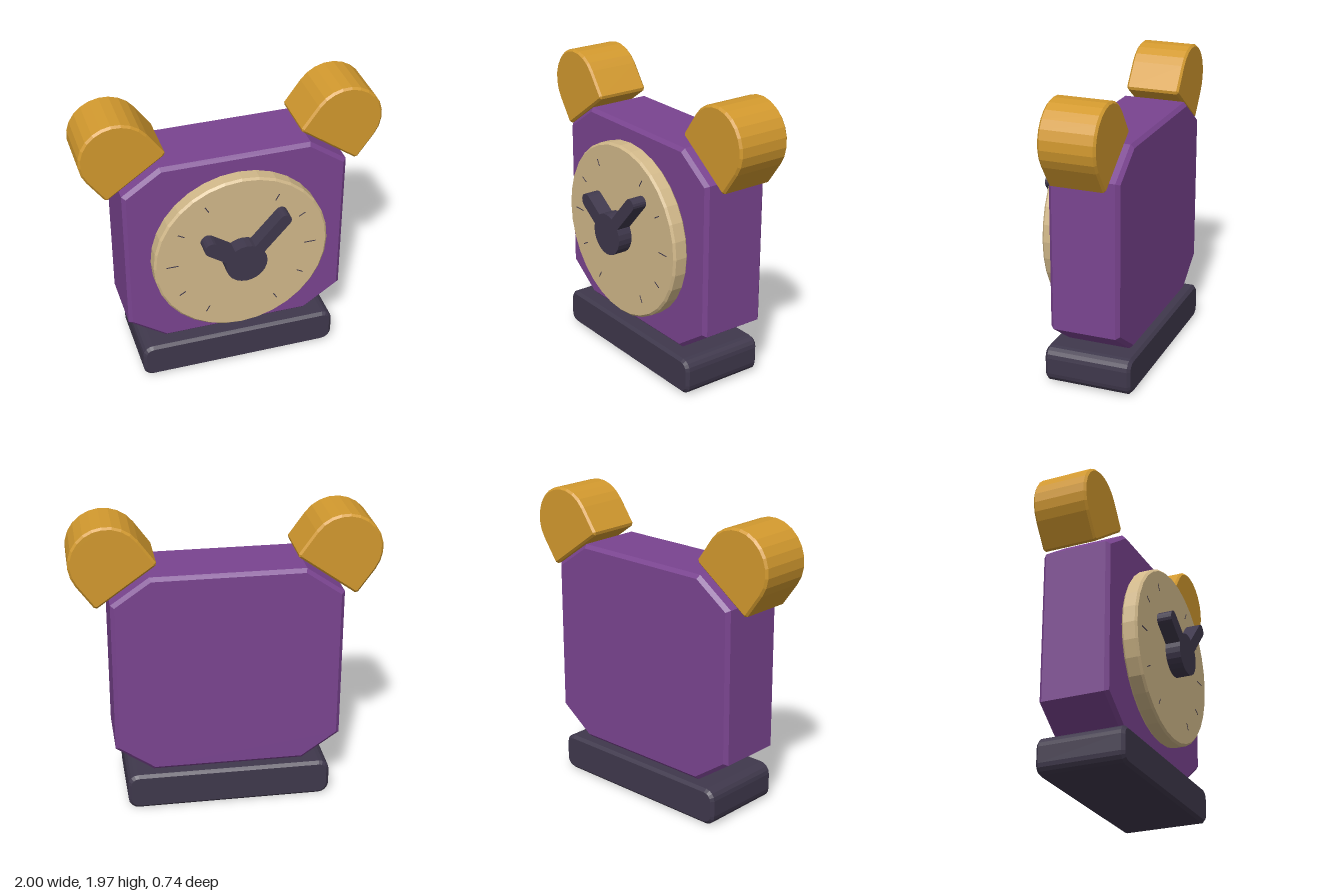
import * as THREE from 'three';

const material = (name, color) => {
  const m = new THREE.MeshStandardMaterial({ color });
  m.name = name;
  return m;
};

// Points along an arc, in the xy plane
function arc(cx, cy, r, from, to, steps) {
  const pts = [];
  for (let i = 0; i <= steps; i++) {
    const a = from + ((to - from) * i) / steps;
    pts.push(new THREE.Vector2(cx + r * Math.cos(a), cy + r * Math.sin(a)));
  }
  return pts;
}

const disc = (r, sides) => arc(0, 0, r, 0, Math.PI * 2, sides).slice(0, -1);

// Extrudes an outline between two depths, with the bevel kept inside the outline
function slab(name, points, z0, z1, bevel, mat) {
  const geometry = new THREE.ExtrudeGeometry(new THREE.Shape(points), {
    depth: z1 - z0 - 2 * bevel,
    bevelEnabled: bevel > 0,
    bevelThickness: bevel,
    bevelSize: bevel,
    bevelOffset: -bevel,
    bevelSegments: 1,
  });
  geometry.translate(0, 0, z0 + bevel);
  const mesh = new THREE.Mesh(geometry, mat);
  mesh.name = name;
  return mesh;
}

export function createModel() {
  const purple = material('purple case', 0x7a4490);
  const dark = material('dark slate', 0x3f384c);
  const gold = material('golden bell', 0xd2992e);
  const cream = material('cream dial', 0xd2b98a);
  const clock = new THREE.Group();
  clock.name = 'alarmClock';
  const dialY = 0.95;

  // Eight-sided case
  const caseOutline = [
    [0.5, 0.26], [0.75, 0.435], [0.75, 1.465], [0.5, 1.64],
    [-0.5, 1.64], [-0.75, 1.465], [-0.75, 0.435], [-0.5, 0.26],
  ].map(([x, y]) => new THREE.Vector2(x, y));
  clock.add(slab('case', caseOutline, -0.325, 0.145, 0.024, purple));

  // Base with rounded corners
  const [bx, by, br, q] = [0.61, 0.177, 0.07, Math.PI / 2];
  const baseOutline = [
    ...arc(bx, br, br, -q, 0, 4),
    ...arc(bx, by, br, 0, q, 4),
    ...arc(-bx, by, br, q, 2 * q, 4),
    ...arc(-bx, br, br, 2 * q, 3 * q, 4),
  ];
  clock.add(slab('base', baseOutline, -0.37, 0.222, 0.02, dark));

  // Two tilted bells
  const bellOutline = [
    new THREE.Vector2(-0.243, 0.015), new THREE.Vector2(-0.228, 0),
    new THREE.Vector2(0.228, 0), new THREE.Vector2(0.243, 0.015),
    ...arc(0, 0.2, 0.243, 0, Math.PI, 12),
  ];
  for (const side of [1, -1]) {
    const bell = slab(side > 0 ? 'leftBell' : 'rightBell', bellOutline, -0.275, 0.095, 0.014, gold);
    bell.position.set(side * 0.64, 1.567, 0);
    bell.rotation.z = -side * 0.62;
    clock.add(bell);
  }

  // Dial
  const dial = slab('dial', disc(0.592, 32), 0.157, 0.265, 0.014, cream);
  dial.position.y = dialY;
  clock.add(dial);

  // Fine hour marks, leaving out the top and bottom
  for (let i = 0; i < 12; i++) {
    if (i % 6 === 3) continue;
    const a = (i * Math.PI) / 6;
    const mark = new THREE.Mesh(new THREE.BoxGeometry(i % 6 ? 0.05 : 0.08, 0.006, 0.006), dark);
    mark.name = 'hourMark';
    mark.position.set(0.47 * Math.cos(a), dialY + 0.47 * Math.sin(a), 0.264);
    mark.rotation.z = a;
    clock.add(mark);
  }

  // Hub and round-tipped hands
  const hands = new THREE.Group();
  hands.name = 'hands';
  hands.position.y = dialY;
  hands.add(slab('hub', disc(0.14, 24), 0.27, 0.37, 0, dark));
  const addHand = (name, x, y, r) => {
    const length = Math.hypot(x, y);
    const outline = [
      new THREE.Vector2(0.12, -r),
      ...arc(length, 0, r, -Math.PI / 2, Math.PI / 2, 8),
      new THREE.Vector2(0.12, r),
    ];
    const hand = slab(name, outline, 0.27, 0.37, 0, dark);
    hand.rotation.z = Math.atan2(y, x);
    hands.add(hand);
  };
  addHand('minuteHand', 0.258, 0.29, 0.041);
  addHand('hourHand', -0.232, 0.16, 0.049);
  clock.add(hands);

  return clock;
}
